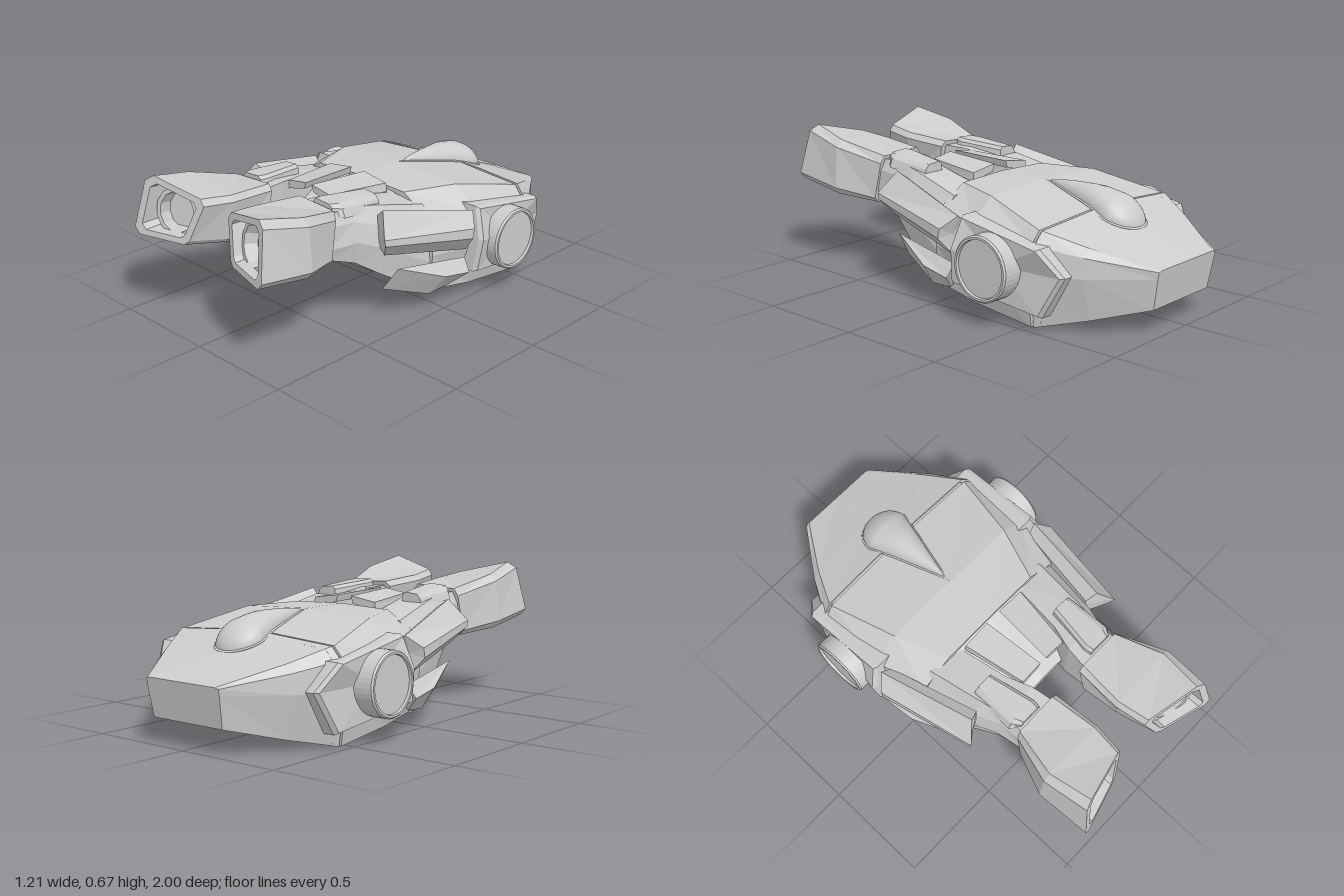
import * as THREE from 'three';

const hullGrey = new THREE.MeshStandardMaterial({ color: 0xcccccc });
hullGrey.name = 'hull grey';
hullGrey.flatShading = true;
const domeGrey = hullGrey.clone();
domeGrey.name = 'smooth hull grey';
domeGrey.flatShading = false;

// Closed faceted solid through loops of [x, y, z]; side -1 mirrors it in x
function loft(name, loops, side = 1) {
  const tris = [];
  const n = loops[0].length;
  const centre = (l) => [0, 1, 2].map((k) => l.reduce((s, p) => s + p[k], 0) / n);
  for (let i = 0; i + 1 < loops.length; i++) {
    for (let j = 0; j < n; j++) {
      const k = (j + 1) % n;
      const [a, b, c, d] = [loops[i][j], loops[i][k], loops[i + 1][k], loops[i + 1][j]];
      tris.push([a, b, c], [a, c, d]);
    }
  }
  const first = loops[0], last = loops[loops.length - 1];
  for (let j = 0; j < n; j++) {
    const k = (j + 1) % n;
    tris.push([first[k], first[j], centre(first)], [last[j], last[k], centre(last)]);
  }
  // Turn all faces outward by the sign of the enclosed volume
  const v = (p) => new THREE.Vector3(p[0] * side, p[1], p[2]);
  const volume = tris.reduce((s, [a, b, c]) => s + v(a).dot(v(b).cross(v(c))), 0);
  const pos = [];
  for (const [a, b, c] of tris) {
    for (const p of volume > 0 ? [a, b, c] : [a, c, b]) pos.push(p[0] * side, p[1], p[2]);
  }
  const g = new THREE.BufferGeometry();
  g.setAttribute('position', new THREE.Float32BufferAttribute(pos, 3));
  g.computeVertexNormals();
  const m = new THREE.Mesh(g, hullGrey);
  m.name = name;
  return m;
}

// Flat loop at one depth
const at = (z, pts) => pts.map(([x, y]) => [x, y, z]);

// Symmetric loop from a right half listed top centre to bottom centre
function whole(z, half, shear = 0) {
  const other = half.slice(1, -1).reverse().map(([x, y]) => [-x, y]);
  return [...half, ...other].map(([x, y]) => [x, y, z + shear * (0.285 - y)]);
}

// Round part from a lathe profile
function turned(name, profile, segments) {
  const g = new THREE.LatheGeometry(profile.map((p) => new THREE.Vector2(...p)), segments);
  const m = new THREE.Mesh(g, hullGrey);
  m.name = name;
  return m;
}

// Teardrop dome that follows the slope of the upper shell
function teardrop(name, grow, height) {
  const g = new THREE.SphereGeometry(1, 40, 24);
  const p = g.attributes.position;
  for (let i = 0; i < p.count; i++) {
    const sx = p.getX(i), sy = p.getY(i), sz = p.getZ(i);
    const taper = sz > 0 ? Math.sqrt((1 - Math.min(sz, 1)) / (1 + sz)) : 1;
    const z = -0.64 + sz * (sz > 0 ? 0.39 : 0.115) * grow;
    const base = z > -0.545 ? 0.515 + 0.185 * Math.min(z + 0.22, 0) : 0.455 + 0.35 * (z + 0.545);
    p.setXYZ(i, sx * 0.115 * taper * grow, base + sy * height * Math.sqrt(taper), z);
  }
  g.computeVertexNormals();
  const m = new THREE.Mesh(g, domeGrey);
  m.name = name;
  return m;
}

// Slanted plane of the nozzle mouth
const mouthZ = (x, y) => 1 + 0.28 * (x - 0.41) - 0.17 * (y - 0.4);

function nozzle(side) {
  const group = new THREE.Group();
  group.name = side > 0 ? 'leftNozzle' : 'rightNozzle';
  const back = [[0.31, 0.335], [0.34, 0.36], [0.33, 0.53], [0.31, 0.565], [0.1, 0.575], [0.075, 0.55], [0.08, 0.37], [0.11, 0.34]];
  const middle = [[0.395, 0.362], [0.422, 0.395], [0.405, 0.59], [0.37, 0.622], [0.08, 0.592], [0.06, 0.565], [0.095, 0.385], [0.125, 0.362]];
  const front = [[0.388, 0.4], [0.415, 0.43], [0.382, 0.64], [0.34, 0.667], [0.1, 0.61], [0.08, 0.58], [0.135, 0.42], [0.16, 0.4]];
  const mouth = (s, depth) => front.map(([x, y]) => {
    const px = 0.25 + (x - 0.25) * s, py = 0.52 + (y - 0.52) * s;
    return [px, py, mouthZ(px, py) - depth];
  });
  group.add(loft('nozzleCasing', [
    back.map(([x, y]) => [x, y, 0.5 + (0.57 - y) * 0.2]),
    at(0.73, middle), mouth(1, 0), mouth(0.78, 0), mouth(0.74, 0.13),
  ], side));
  // Barrel ring set in the recess
  const ring = turned('barrelRing', [[0.11, -0.09], [0.11, 0], [0.09, 0], [0.083, -0.06], [0, -0.06]], 12);
  ring.position.set(0.25 * side, 0.512, mouthZ(0.25, 0.512) - 0.045);
  ring.quaternion.setFromUnitVectors(new THREE.Vector3(0, 1, 0), new THREE.Vector3(-0.28 * side, 0.17, 1).normalize());
  group.add(ring);
  return group;
}

function sideParts(side) {
  const group = new THREE.Group();
  group.name = side > 0 ? 'leftSide' : 'rightSide';
  group.add(nozzle(side));

  group.add(loft('arm', [
    at(0, [[0.2, 0.48], [0.36, 0.465], [0.42, 0.38], [0.44, 0.2], [0.43, 0.055], [0.19, 0.055]]),
    at(0.28, [[0.16, 0.53], [0.32, 0.53], [0.37, 0.45], [0.39, 0.35], [0.37, 0.22], [0.15, 0.22]]),
    at(0.4, [[0.12, 0.55], [0.3, 0.55], [0.33, 0.49], [0.35, 0.4], [0.33, 0.3], [0.11, 0.28]]),
    at(0.54, [[0.1, 0.555], [0.3, 0.55], [0.32, 0.5], [0.325, 0.4], [0.31, 0.35], [0.1, 0.35]]),
  ], side));

  // Raised pad on the arm, wider toward the nozzle
  group.add(loft('armPad', [
    at(0.23, [[0.2, 0.5], [0.205, 0.55], [0.22, 0.565], [0.285, 0.56], [0.305, 0.54], [0.315, 0.5]]),
    at(0.45, [[0.16, 0.53], [0.165, 0.568], [0.18, 0.582], [0.285, 0.578], [0.31, 0.56], [0.325, 0.52]]),
    at(0.488, [[0.165, 0.54], [0.17, 0.57], [0.185, 0.585], [0.27, 0.58], [0.285, 0.565], [0.29, 0.54]]),
  ], side));

  // Tilted plate beside the centre gap
  group.add(loft('innerPlate', [
    at(0.05, [[0.04, 0.55], [0.18, 0.53], [0.185, 0.49], [0.05, 0.515]]),
    at(0.355, [[0.018, 0.562], [0.13, 0.545], [0.13, 0.505], [0.03, 0.53]]),
  ], side));

  group.add(loft('shoulderPlate', [
    [[0.46, 0.4, -0.15], [0.51, 0.43, -0.165], [0.57, 0.375, -0.11], [0.57, 0.33, -0.1], [0.505, 0.25, -0.13], [0.45, 0.29, -0.13]],
    [[0.36, 0.5, 0.29], [0.41, 0.54, 0.31], [0.478, 0.44, 0.37], [0.48, 0.41, 0.365], [0.42, 0.335, 0.31], [0.36, 0.37, 0.29]],
  ], side));

  // Square bar with a slanted end
  group.add(loft('lowerFin', [
    [[0.5, 0.21, -0.13], [0.42, 0.17, -0.11], [0.46, 0.08, -0.07], [0.54, 0.15, -0.12]],
    [[0.455, 0.265, 0.26], [0.38, 0.15, 0.28], [0.45, 0.07, 0.05], [0.53, 0.175, 0.03]],
  ], side));

  // Side housing, chamfered toward its outer face
  const outer = [[0.525, 0.44, -0.19], [0.53, 0.37, -0.62], [0.475, 0.25, -0.71], [0.5, 0.065, -0.61], [0.55, 0.14, -0.15], [0.57, 0.3, -0.165]];
  const grown = (s, dx) => outer.map(([x, y, z]) => [x + dx, 0.255 + (y - 0.255) * s, -0.4 + (z + 0.4) * s]);
  group.add(loft('sideHousing', [grown(1, -0.13), grown(1, -0.02), grown(0.95, 0)], side));

  const disc = turned('sideDisc', [[0.145, 0.48], [0.145, 0.597], [0.138, 0.605], [0.128, 0.605], [0.126, 0.592], [0, 0.592]], 40);
  disc.rotation.z = -side * Math.PI / 2;
  disc.position.set(0, 0.255, -0.37);
  group.add(disc);
  return group;
}

export function createModel() {
  const model = new THREE.Group();
  model.name = 'pod';

  // Hull shells either side of the seam
  const seam = [[0, 0.455], [0.44, 0.425], [0.485, 0.37], [0.5, 0.25], [0.45, 0], [0, 0.02]];
  model.add(loft('frontShell', [
    whole(0.03, [[0, 0.515], [0.27, 0.505], [0.43, 0.41], [0.45, 0.25], [0.43, 0.075], [0, 0.075]]),
    whole(-0.22, [[0, 0.515], [0.36, 0.5], [0.485, 0.4], [0.51, 0.25], [0.45, 0.035], [0, 0.05]]),
    whole(-0.548, seam, 0.08),
  ]));
  model.add(loft('rearShell', [
    whole(-0.562, seam, 0.08),
    whole(-0.75, [[0, 0.385], [0.35, 0.365], [0.385, 0.33], [0.39, 0.24], [0.34, 0.05], [0, 0.065]]),
    whole(-1, [[0, 0.285], [0.19, 0.285], [0.21, 0.28], [0.21, 0.25], [0.2, 0.11], [0, 0.11]], 0.17),
  ]));
  const core = seam.map(([x, y]) => [x * 0.97, 0.23 + (y - 0.23) * 0.95]);
  model.add(loft('seamCore', [whole(-0.52, core, 0.08), whole(-0.59, core, 0.08)]));

  // Sloping nose between the arms
  model.add(loft('nose', [
    whole(0, [[0, 0.515], [0.22, 0.5], [0.24, 0.055], [0, 0.055]]),
    whole(0.2, [[0, 0.435], [0.21, 0.425], [0.21, 0.17], [0, 0.18]]),
    whole(0.37, [[0, 0.348], [0.13, 0.338], [0.13, 0.31], [0, 0.31]]),
  ]));

  model.add(teardrop('topDome', 1, 0.09), teardrop('topDomeRim', 1.06, 0.015));
  for (const side of [1, -1]) model.add(sideParts(side));
  return model;
}
